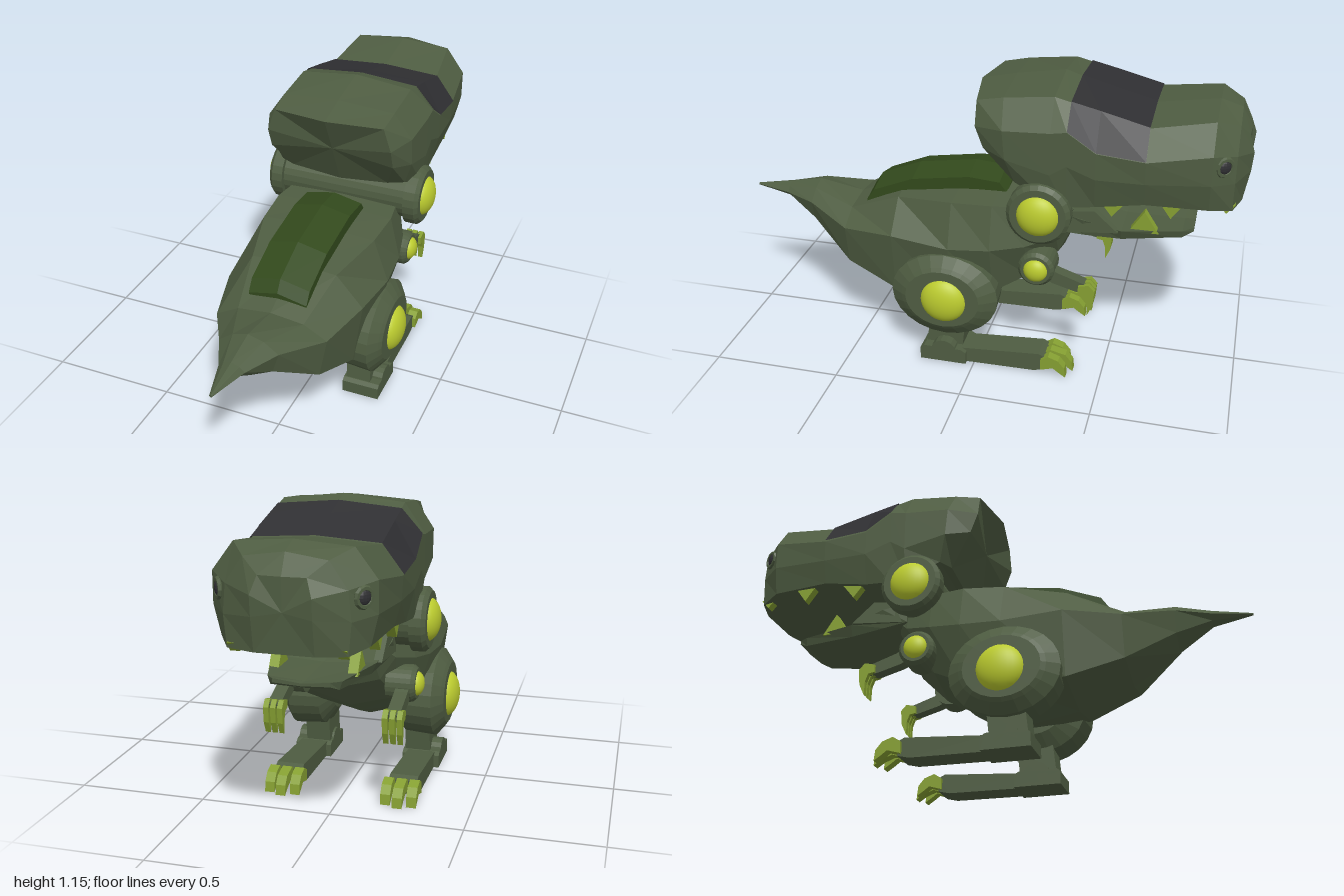
import * as THREE from 'three';

const GREEN = 0x4f5d42, YELLOW = 0xbccc2f, CLAW = 0x86a032, PANEL = 0x32491c, DARK = 0x303033;
const paint = (color, flatShading = true) =>
  new THREE.MeshStandardMaterial({ color, flatShading, side: THREE.DoubleSide });
const MAT = {
  green: paint(GREEN), claw: paint(CLAW), panel: paint(PANEL),
  dark: paint(DARK), yellow: paint(YELLOW, false),
};

export function createModel() {
  const model = new THREE.Group();
  model.name = 'mechanicalDinosaur';

  const add = (name, geometry, material, x = 0, y = 0, z = 0) => {
    const mesh = new THREE.Mesh(geometry, material);
    mesh.name = name;
    mesh.position.set(x, y, z);
    model.add(mesh);
    return mesh;
  };

  // Skin over half cross-sections (top centre to bottom centre), mirrored in x, listed from +z to -z
  const loft = (sections, closed = true) => {
    const rings = sections.map((half) => {
      const right = half.map((p) => new THREE.Vector3(...p));
      const left = right.filter((p) => p.x > 1e-6).map((p) => new THREE.Vector3(-p.x, p.y, p.z)).reverse();
      return closed ? [...right, ...left] : [...left, ...right];
    });
    if (closed) {
      const cap = (ring) => {
        const c = ring.reduce((s, p) => s.add(p), new THREE.Vector3()).divideScalar(ring.length);
        return ring.map(() => c);
      };
      rings.unshift(cap(rings[0]));
      rings.push(cap(rings[rings.length - 1]));
    }
    const verts = [];
    const tri = (...t) => {
      if (new THREE.Triangle(...t).getArea() > 1e-8) t.forEach((p) => verts.push(p.x, p.y, p.z));
    };
    for (let i = 0; i < rings.length - 1; i++) {
      const n = rings[i].length;
      for (let j = 0; j < (closed ? n : n - 1); j++) {
        const k = (j + 1) % n;
        tri(rings[i][j], rings[i][k], rings[i + 1][k]);
        tri(rings[i][j], rings[i + 1][k], rings[i + 1][j]);
      }
    }
    const g = new THREE.BufferGeometry();
    g.setAttribute('position', new THREE.Float32BufferAttribute(verts, 3));
    g.computeVertexNormals();
    return g;
  };
  const at = (z, ...points) => points.map(([x, y]) => [x, y, z]);

  // Side outline given as [z, y], thickened along x
  const slab = (name, outline, x, width, material) => {
    const shape = new THREE.Shape(outline.map(([z, y]) => new THREE.Vector2(-z, y)));
    const g = new THREE.ExtrudeGeometry(shape, { depth: width, bevelEnabled: false, curveSegments: 6 });
    g.translate(0, 0, -width / 2).rotateY(Math.PI / 2);
    return add(name, g, material, x);
  };

  // Turned part about the x axis, profile given as [radius, distance from the middle plane]
  const turned = (name, profile, side, y, z, stretch = 1) => {
    const g = new THREE.LatheGeometry(profile.map((p) => new THREE.Vector2(...p)), 24);
    g.rotateZ(-side * Math.PI / 2).scale(1, 1, stretch);
    return add(name, g, MAT.green, 0, y, z);
  };
  const dome = (name, r, depth, x, y, z) =>
    add(name, new THREE.SphereGeometry(r, 28, 18).scale(depth / r, 1, 1), MAT.yellow, x, y, z);

  // Body and tail
  add('bodyAndTail', loft([
    at(1, [0, .545], [.004, .543], [.006, .54], [.004, .537], [0, .535]),
    at(.85, [0, .57], [.03, .56], [.05, .54], [.03, .52], [0, .51]),
    at(.72, [0, .597], [.06, .58], [.115, .54], [.09, .46], [0, .415]),
    at(.54, [0, .565], [.13, .55], [.22, .5], [.19, .34], [0, .3]),
    at(.33, [0, .65], [.17, .64], [.275, .52], [.24, .27], [0, .225]),
    at(.1, [0, .685], [.23, .67], [.29, .5], [.24, .26], [0, .185]),
    at(-.06, [0, .69], [.24, .68], [.28, .51], [.22, .3], [0, .25]),
    at(-.19, [0, .69], [.22, .68], [.25, .53], [.18, .37], [0, .32]),
    at(-.3, [0, .69], [.18, .67], [.2, .56], [.14, .47], [0, .43]),
    at(-.36, [0, .68], [.14, .66], [.15, .62], [.12, .59], [0, .57]),
  ]), MAT.green);

  // Raised panel along the back
  add('backPanel', loft(
    [[.48, .61], [.45, .655], [.29, .72], [.06, .755], [-.06, .745], [-.09, .705]].map(
      ([z, y]) => at(z, [0, y], [.115, y - .025], [.115, y - .13], [0, y - .13]))
  ), MAT.panel);

  // Head, with the visor laid over the middle of its upper surface
  const visorRows = [
    at(-.345, [0, 1.135], [.225, 1.115], [.3, 1.03], [.3, .9], [.28, .73], [0, .74]),
    at(-.45, [0, 1.105], [.225, 1.09], [.3, .96], [.3, .86], [.27, .74], [0, .74]),
    at(-.625, [0, 1.06], [.225, 1.045], [.3, .945], [.295, .86], [.27, .77], [0, .77]),
  ];
  add('head', loft([
    [[0, 1.095, .035], [.22, 1.09, 0], [.25, 1, 0], [.25, .92, -.03], [.2, .8, -.12], [0, .78, -.12]],
    [[0, 1.125, -.1], [.225, 1.11, -.1], [.295, 1.01, -.11], [.295, .9, -.12], [.26, .8, -.15], [0, .78, -.15]],
    at(-.285, [0, 1.155], [.225, 1.13], [.3, 1.02], [.3, .86], [.28, .74], [0, .74]),
    ...visorRows,
    at(-.85, [0, 1.095], [.2, 1.08], [.275, .98], [.275, .87], [.25, .765], [0, .77]),
    at(-.93, [0, 1.07], [.14, 1.05], [.2, .96], [.21, .86], [.2, .75], [0, .75]),
    [[0, 1, -.97], [.08, 1, -.965], [.1, .94, -.985], [.1, .87, -.98], [.1, .75, -.96], [0, .75, -.96]],
  ]), MAT.green);
  add('visor', loft(visorRows.map((row) =>
    row.slice(0, 3).map(([x, y, z]) => [x && x + .003, y + .004, z])), false), MAT.dark);

  // Lower jaw
  add('lowerJaw', loft([
    at(-.3, [0, .67], [.2, .67], [.2, .59], [0, .57]),
    at(-.4, [0, .63], [.21, .65], [.19, .58], [0, .57]),
    at(-.54, [0, .6], [.19, .612], [.17, .57], [0, .562]),
    at(-.76, [0, .6], [.13, .61], [.12, .58], [0, .577]),
    at(-.8, [0, .603], [.1, .615], [.1, .6], [0, .595]),
  ]), MAT.green);

  // Head hinge bar
  turned('headHinge', [[0, -.3], [.1, -.3], [.1, .3], [0, .3]], 1, .7, -.25);

  for (const s of [1, -1]) {
    const side = s > 0 ? 'left' : 'right';

    // Joint discs with domed caps
    turned(side + 'HeadHingeDisc', [[0, .26], [.12, .26], [.12, .305], [.105, .32], [0, .32]], s, .7, -.25);
    dome(side + 'HeadHingeCap', .082, .05, s * .305, .7, -.25);
    turned(side + 'ShoulderDisc', [[0, .16], [.07, .16], [.07, .255], [.058, .27], [0, .27]], s, .445, -.237);
    dome(side + 'ShoulderCap', .047, .032, s * .263, .445, -.237);
    turned(side + 'Hip', [[0, .125], [.1, .13], [.165, .17], [.173, .29], [.135, .32], [.12, .33], [0, .33]], s, .3, .115, 1.22);
    dome(side + 'HipCap', .093, .053, s * .315, .295, .11);

    // Eye with a raised rim, turned outward and forward
    const turn = s > 0 ? 2.2 : -2.2;
    const rim = add(side + 'EyeRim', new THREE.TorusGeometry(.03, .01, 6, 12), MAT.green, s * .239, .932, -.89);
    const eye = add(side + 'Eye', new THREE.SphereGeometry(.026, 12, 8).scale(1, 1, .5), MAT.dark, s * .239, .932, -.89);
    rim.rotation.y = eye.rotation.y = turn;

    // Arm with three hooked fingers
    slab(side + 'Arm', [[-.24, .475], [-.32, .435], [-.41, .405], [-.45, .39], [-.44, .36], [-.39, .365], [-.3, .39], [-.24, .42]],
      s * .225, .05, MAT.green);
    for (const i of [-1, 0, 1]) {
      slab(side + 'Finger', [[-.4, .395], [-.44, .405], [-.463, .38], [-.458, .32], [-.438, .275], [-.436, .33], [-.425, .36], [-.4, .365]],
        s * .225 + i * .027, .02, MAT.claw);
    }

    // Shin, ankle and foot with three toes
    slab(side + 'Shin', [[.185, .17], [.04, .17], [.055, .03], [.2, .03]], s * .212, .1, MAT.green);
    slab(side + 'Heel', [[.215, 0], [.215, .05], [.2, .062], [.05, .062], [.03, .05], [.03, 0]], s * .228, .15, MAT.green);
    const ankle = add(side + 'Ankle', new THREE.CylinderGeometry(.05, .05, .15, 14), MAT.green, s * .228, .022 + .03, .12);
    ankle.rotation.z = Math.PI / 2;
    ankle.scale.set(.85, 1, 1);
    slab(side + 'Foot', [[.06, 0], [.06, .06], [-.26, .082], [-.285, .07], [-.285, .015], [-.24, .004]], s * .228, .11, MAT.green);
    for (const i of [-1, 0, 1]) {
      const reach = i ? 0 : -.02;
      slab(side + 'Toe', [[-.27, .065], [-.3, .084], [-.34 + reach, .07], [-.365 + reach, .04], [-.37 + reach, 0],
        [-.34 + reach, .02], [-.32, .035], [-.27, .02]], s * .228 + i * .05, .038, MAT.claw);
    }

    // Teeth: [z, x, base y, tip y, half width]
    for (const [z, x, base, tip, w] of [
      [-.51, .235, .77, .7, .055], [-.72, .23, .785, .715, .05], [-.91, .18, .77, .735, .03],
      [-.62, .14, .6, .685, .055],
    ]) slab(side + 'Tooth', [[z + w, base], [z, tip], [z - w, base]], s * x, .035, MAT.claw);

    // Jaw corner
    slab(side + 'JawCorner', [[-.32, .59], [-.36, .68], [-.44, .69], [-.53, .61]], s * .19, .03, MAT.green);
  }
  return model;
}
